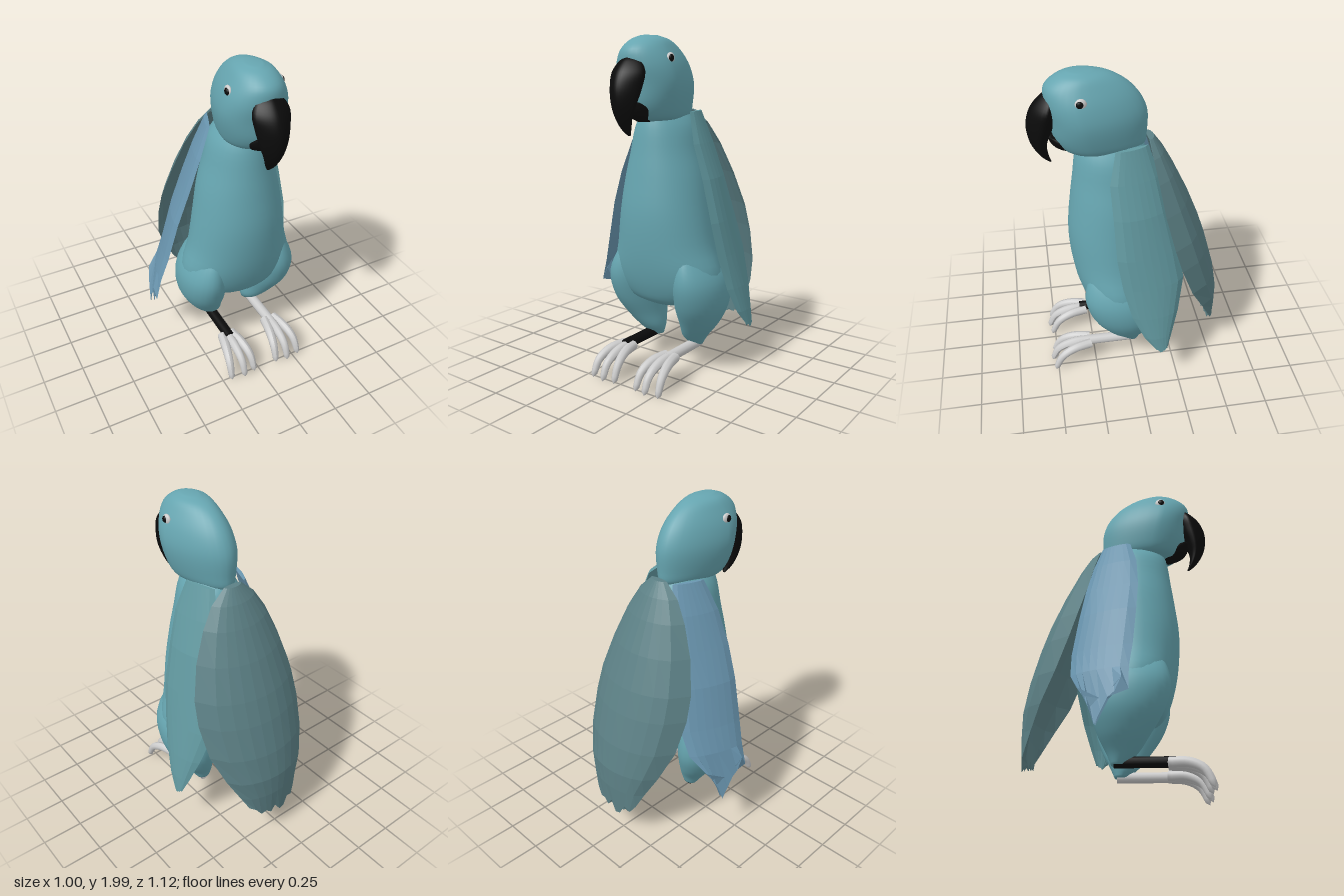
import * as THREE from 'three';

const CX = 0.045; // the bird's mid-line
const mat = (color, flatShading = false) => new THREE.MeshStandardMaterial({ color, flatShading });
const TEAL = mat(0x66a5b0), WING_TEAL = mat(0x6299a0, true), WING_BLUE = mat(0x6a96b0, true);
const TAIL = mat(0x5c8085, true), BLACK = mat(0x0b0b0b), GREY = mat(0xcccccc);

function add(parent, name, geometry, material) {
  const mesh = new THREE.Mesh(geometry, material);
  mesh.name = name;
  parent.add(mesh);
  return mesh;
}

// Closed skin over rings of equal point count, with capped ends and outward faces
function skin(rings) {
  const n = rings[0].length, m = rings.length;
  const pts = rings.flat(), idx = [];
  for (let i = 0; i < m - 1; i++) for (let j = 0; j < n; j++) {
    const a = i * n + j, b = i * n + (j + 1) % n;
    idx.push(a, b, a + n, b, b + n, a + n);
  }
  for (const end of [0, m - 1]) {
    const c = pts.length;
    pts.push(rings[end].reduce((s, p) => s.add(p), new THREE.Vector3()).divideScalar(n));
    for (let j = 0; j < n; j++) {
      const a = end * n + j, b = end * n + (j + 1) % n;
      idx.push(...(end ? [a, b, c] : [b, a, c]));
    }
  }
  let volume = 0;
  for (let k = 0; k < idx.length; k += 3)
    volume += pts[idx[k]].dot(new THREE.Vector3().crossVectors(pts[idx[k + 1]], pts[idx[k + 2]]));
  if (volume < 0) idx.reverse();
  const g = new THREE.BufferGeometry().setFromPoints(pts);
  g.setIndex(idx);
  g.computeVertexNormals();
  return g;
}

// Smooth solid from egg-shaped slices: [y, centre x, half width, front z, back z, z of widest point]
// pinchFront and pinchBack narrow the slices towards either end
function blob(slices, pinchFront = 0, pinchBack = 0, steps = 32, sides = 32) {
  const columns = [];
  for (let j = 0; j < sides; j++) {
    const t = j / sides * Math.PI * 2, s = Math.sin(t);
    const narrow = Math.cos(t) * (1 - (s > 0 ? pinchFront : -pinchBack) * s);
    const curve = new THREE.CatmullRomCurve3(slices.map(([y, x, rx, zf, zb, w = (zf + zb) / 2]) =>
      new THREE.Vector3(x + rx * narrow, y, w + s * (s > 0 ? zf - w : w - zb))));
    columns.push(curve.getPoints(steps));
  }
  return skin(columns[0].map((_, i) => columns.map(c => c[i])));
}

// Thin bowed feather panel: rows of [y, ax, az, bx, bz, bow]; jag drops the last row into tatters
function panel(rows, thickness, jag) {
  const n = jag.length - 1;
  return skin(rows.map(([y, ax, az, bx, bz, bow], r) => {
    const a = new THREE.Vector3(ax, y, az), b = new THREE.Vector3(bx, y, bz);
    const out = new THREE.Vector3(bz - az, 0, ax - bx).normalize();
    const point = (i, t) => {
      const arch = Math.abs(Math.sin(Math.PI * i / n)) ** 0.55;
      const p = a.clone().lerp(b, i / n).addScaledVector(out, (bow - t) * arch);
      if (r === rows.length - 1) p.y -= jag[i];
      return p;
    };
    const ring = [];
    for (let i = 0; i <= n; i++) ring.push(point(i, 0));
    for (let i = n - 1; i > 0; i--) ring.push(point(i, thickness));
    return ring;
  }));
}

// Tapered toe bending down to a blunt claw
function toe(x0, x1, reach) {
  const curve = new THREE.CatmullRomCurve3([
    [x0, 0.165, 0.28], [x0 + (x1 - x0) * 0.5, 0.158, 0.39],
    [x0 + (x1 - x0) * 0.85, 0.115, reach - 0.06], [x1, 0.015, reach - 0.01],
  ].map(p => new THREE.Vector3(...p)));
  const segs = 14, sides = 10;
  const g = new THREE.TubeGeometry(curve, segs, 0.03, sides);
  const pos = g.attributes.position, v = new THREE.Vector3();
  for (let i = 0; i < pos.count; i++) {
    const u = Math.floor(i / (sides + 1)) / segs;
    const k = u === 1 ? 0 : 1 - 0.45 * u * u;
    v.fromBufferAttribute(pos, i).lerp(curve.getPointAt(u), 1 - k);
    pos.setXYZ(i, v.x, v.y, v.z);
  }
  g.computeVertexNormals();
  return g;
}

export function createModel() {
  const bird = new THREE.Group();
  bird.name = 'parrot';

  // Body, broad at the hips, and head
  add(bird, 'body', blob([
    [1.6, CX, 0.09, 0.28, -0.03], [1.5, CX, 0.16, 0.31, -0.10], [1.35, CX, 0.20, 0.33, -0.12],
    [1.2, CX, 0.24, 0.35, -0.14], [1.0, CX, 0.275, 0.37, -0.15], [0.8, CX, 0.31, 0.36, -0.15],
    [0.65, CX, 0.355, 0.335, -0.15], [0.54, CX, 0.345, 0.30, -0.15], [0.47, CX, 0.28, 0.26, -0.14],
    [0.43, CX, 0.16, 0.19, -0.09],
  ]), TEAL);
  add(bird, 'head', blob([
    [1.53, CX, 0.09, 0.30, -0.04, 0.16], [1.55, CX, 0.135, 0.37, -0.09, 0.2],
    [1.62, CX, 0.165, 0.42, -0.10, 0.22], [1.74, CX, 0.187, 0.44, -0.10, 0.25],
    [1.84, CX, 0.172, 0.46, -0.06, 0.27], [1.92, CX, 0.135, 0.455, 0.01, 0.27],
    [1.975, CX, 0.095, 0.39, 0.10, 0.26], [2.0, CX, 0.04, 0.32, 0.20, 0.26],
  ], 0, 0.15), TEAL);

  // Hooked beak with a ridge down its front
  add(bird, 'upperBeak', blob([
    [1.885, CX, 0.035, 0.45, 0.40], [1.86, CX, 0.075, 0.485, 0.38], [1.8, CX, 0.107, 0.535, 0.38],
    [1.72, CX, 0.10, 0.562, 0.40], [1.64, CX, 0.083, 0.56, 0.435], [1.57, CX, 0.06, 0.54, 0.458],
    [1.5, CX, 0.034, 0.497, 0.453], [1.46, CX, 0.008, 0.455, 0.44],
  ], 0.4), BLACK);
  add(bird, 'lowerBeak', blob([
    [1.64, CX, 0.06, 0.455, 0.41], [1.6, CX, 0.083, 0.445, 0.30],
    [1.565, CX, 0.07, 0.42, 0.28], [1.53, CX, 0.04, 0.35, 0.29],
  ], 0, 0, 12, 20), BLACK);

  // Wings hanging at the sides, their rear edges tucked in behind the body
  add(bird, 'leftWing', panel([
    [1.58, 0.15, -0.09, 0.205, 0.10, 0.025], [1.4, 0.19, -0.15, 0.26, 0.14, 0.04],
    [1.2, 0.24, -0.19, 0.315, 0.13, 0.05], [0.95, 0.29, -0.25, 0.37, 0.12, 0.05],
    [0.75, 0.33, -0.285, 0.40, 0.09, 0.055], [0.55, 0.40, -0.245, 0.435, 0.04, 0.045],
    [0.4, 0.45, -0.20, 0.465, -0.03, 0.03], [0.31, 0.485, -0.17, 0.49, -0.10, 0.01],
  ], 0.025, [0, 0, 0.01, 0.01, 0.02, 0.02, 0.01, 0, 0]), WING_TEAL);
  add(bird, 'rightWing', panel([
    [1.57, -0.12, 0.08, -0.05, -0.10, 0.02], [1.4, -0.20, 0.12, -0.10, -0.15, 0.03],
    [1.2, -0.28, 0.13, -0.16, -0.19, 0.03], [1.0, -0.35, 0.12, -0.21, -0.22, 0.04],
    [0.75, -0.415, 0.10, -0.265, -0.25, 0.04], [0.6, -0.46, 0.08, -0.33, -0.245, 0.03],
    [0.5, -0.495, 0.08, -0.43, -0.20, 0.02],
  ], 0.025, [0.04, -0.03, 0.05, 0.08, 0.15, 0.22, 0.12, 0.05, 0]), WING_BLUE);

  // Broad feather shield sloping down the back: [y, half width, spine z, edge z]
  add(bird, 'tailShield', panel([
    [1.58, 0.06, -0.14, -0.11], [1.5, 0.15, -0.195, -0.115], [1.38, 0.225, -0.26, -0.135],
    [1.2, 0.30, -0.345, -0.165], [1.0, 0.355, -0.425, -0.215], [0.85, 0.365, -0.475, -0.26],
    [0.65, 0.345, -0.53, -0.335], [0.48, 0.285, -0.56, -0.42], [0.35, 0.22, -0.56, -0.475],
    [0.24, 0.18, -0.55, -0.51],
  ].map(([y, w, zs, ze]) => [y, CX - w, ze, CX + w, ze, ze - zs]), 0.04,
  [-0.02, 0.03, 0.0, 0.07, 0.08, 0.01, 0.06, 0.03, 0.04, -0.01, -0.03]), TAIL);

  for (const [side, s] of [['left', 1], ['right', -1]]) {
    // Thighs
    const x = d => CX + s * d;
    add(bird, side + 'Thigh', blob([
      [0.84, x(0.18), 0.03, 0.2, 0.0], [0.74, x(0.215), 0.085, 0.275, -0.09],
      [0.6, x(0.233), 0.139, 0.305, -0.14], [0.45, x(0.229), 0.142, 0.265, -0.15],
      [0.32, x(0.2), 0.112, 0.185, -0.11], [0.22, x(0.16), 0.075, 0.11, -0.06],
      [0.16, x(0.15), 0.045, 0.04, -0.035],
    ], 0, 0, 28, 28), TEAL);

    // Shanks run forward to three toes
    const shank = add(bird, side + 'Shank',
      new THREE.CylinderGeometry(0.032, 0.032, 0.34, 12), s > 0 ? GREY : BLACK);
    shank.rotation.x = Math.PI / 2;
    shank.position.set(x(0.155), s > 0 ? 0.162 : 0.175, 0.15);
    const foot = new THREE.Group();
    foot.name = side + 'Foot';
    bird.add(foot);
    [-0.075, 0, 0.085].forEach((d, i) =>
      add(foot, 'toe', toe(x(0.155 + d * 0.4), x(0.155 + d), i === 1 ? 0.545 : 0.53), GREY));

    // Eyes
    const eye = add(bird, side + 'Eye', new THREE.SphereGeometry(0.032, 20, 14), GREY);
    eye.position.set(x(0.152), 1.875, 0.275);
    eye.scale.x = 0.5;
    const pupil = add(bird, side + 'Pupil', new THREE.SphereGeometry(0.02, 16, 12), BLACK);
    pupil.position.set(x(0.162), 1.877, 0.281);
    pupil.scale.x = 0.6;
  }
  return bird;
}
